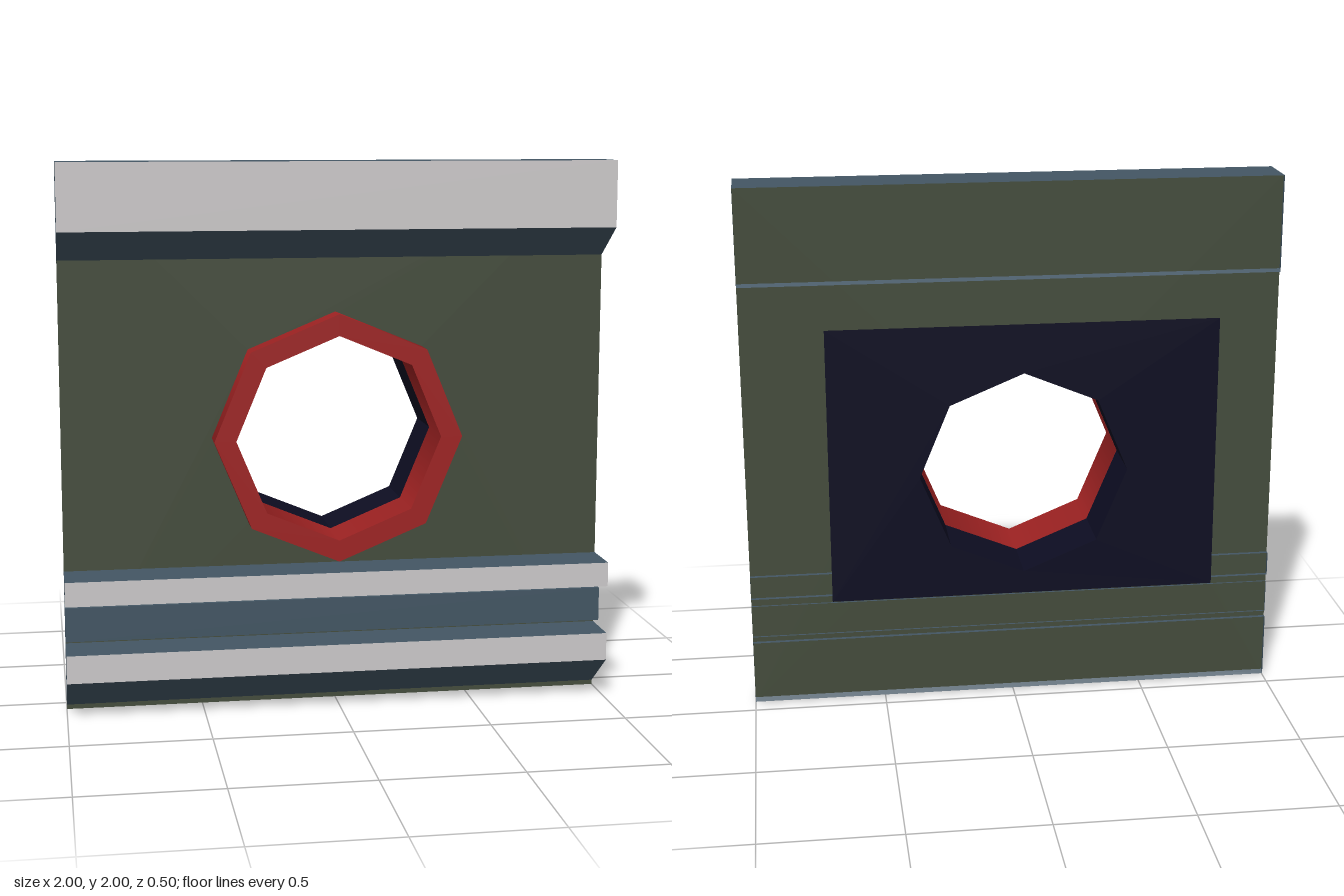
import * as THREE from 'three';

const mat = (name, color) =>
  new THREE.MeshStandardMaterial({ name, color, side: THREE.DoubleSide });

export function createModel() {
  const green = mat('wall green', 0x444c3c);
  const blue = mat('slate blue', 0x435664);
  const pale = mat('pale grey', 0xcdcacb);
  const red = mat('frame red', 0x9e2222);
  const navy = mat('dark navy', 0x0d0d22);

  const model = new THREE.Group();
  model.name = 'windowWallPanel';
  const CY = 1; // height of the window centre

  const add = (name, geometry, material, y = 0, z = 0, parent = model) => {
    const mesh = new THREE.Mesh(geometry, material);
    mesh.name = name;
    mesh.position.set(0, y, z);
    parent.add(mesh);
    return mesh;
  };

  // Rectangle with an octagonal hole around the window centre
  const holedSheet = (halfWidth, y0, y1, radius) => {
    const shape = new THREE.Shape([
      new THREE.Vector2(-halfWidth, y0), new THREE.Vector2(halfWidth, y0),
      new THREE.Vector2(halfWidth, y1), new THREE.Vector2(-halfWidth, y1),
    ]);
    const hole = [];
    for (let i = 0; i < 8; i++) {
      const a = -i * Math.PI / 4;
      hole.push(new THREE.Vector2(radius * Math.cos(a), CY + radius * Math.sin(a)));
    }
    shape.holes.push(new THREE.Path(hole));
    return new THREE.ShapeGeometry(shape);
  };

  // Flat-shaded quads, each given as four corners
  const quads = (list) => {
    const pos = [];
    for (const [a, b, c, d] of list) pos.push(...a, ...b, ...c, ...a, ...c, ...d);
    const g = new THREE.BufferGeometry();
    g.setAttribute('position', new THREE.Float32BufferAttribute(pos, 3));
    g.computeVertexNormals();
    return g;
  };

  // Full-width moulding, open at the back; profile runs
  // back top, front top, front bottom, back bottom as [z, y]
  const trim = (name, profile, faceMaterial) => {
    const group = new THREE.Group();
    group.name = name;
    model.add(group);
    const [bt, ft, fb, bb] = [0, 1, 2, 3].map((i) => (x) => [x, profile[i][1], profile[i][0]]);
    add(name + 'Body', quads([
      [ft(-1), ft(1), bt(1), bt(-1)],
      [bb(-1), bb(1), fb(1), fb(-1)],
      [fb(1), bb(1), bt(1), ft(1)],
      [bb(-1), fb(-1), ft(-1), bt(-1)],
    ]), blue, 0, 0, group);
    add(name + 'Face', quads([[fb(-1), fb(1), ft(1), ft(-1)]]), faceMaterial, 0, 0, group);
  };

  // Wall sheet
  add('wall', holedSheet(1, 0, 2, 0.445), green, 0, 0.078);

  // Horizontal mouldings
  trim('topTrim', [[0.062, 2], [0.252, 2], [0.252, 1.76], [0.062, 1.64]], pale);
  trim('sillTrim', [[0.062, 0.52], [0.252, 0.52], [0.252, 0.43], [0.062, 0.43]], pale);
  trim('middleTrim', [[0.07, 0.398], [0.145, 0.398], [0.145, 0.272], [0.07, 0.272]], blue);
  trim('baseTrim', [[0.062, 0.25], [0.252, 0.25], [0.252, 0.147], [0.062, 0.005]], pale);

  // Octagonal open tube along z, with a corner at the top
  const tube = (radius, z0, z1) => {
    const g = new THREE.CylinderGeometry(radius, radius, z1 - z0, 8, 1, true);
    g.rotateX(Math.PI / 2);
    return g.translate(0, 0, (z0 + z1) / 2);
  };

  // Window frame: raised ring and the sleeve behind it
  const R = 0.376, OUTER = 0.455;
  add('frameRim', tube(OUTER, 0.084, 0.184), red, CY);
  add('frameFront', new THREE.RingGeometry(R, OUTER, 8), red, CY, 0.184);
  add('frameBack', new THREE.RingGeometry(R, OUTER, 8).rotateY(Math.PI), red, CY, 0.084);
  add('frameSleeve', tube(R, -0.03, 0.184), red, CY);

  // Dark faceted duct ending in a flat backing sheet
  const duct = tube(R + 0.001, -0.252, -0.03).toNonIndexed();
  duct.computeVertexNormals();
  add('duct', duct, navy, CY);
  add('backingSheet', holedSheet(0.7, 0.54, 1.555, R), navy, 0, -0.252);

  return model;
}
